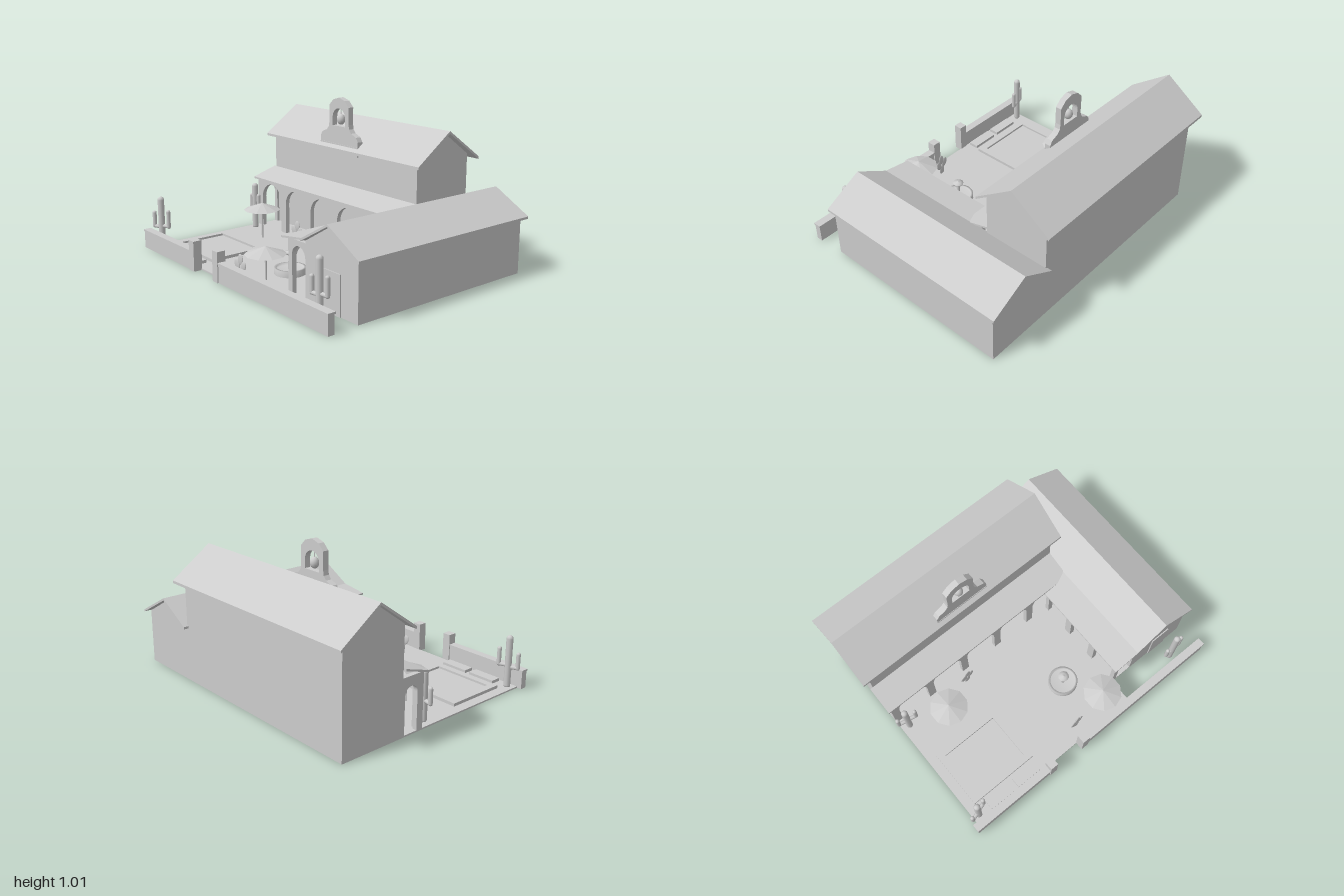
import * as THREE from 'three';

export function createModel() {
  const root = new THREE.Group();
  root.name = 'courtyardVilla';
  const plaster = new THREE.MeshStandardMaterial({ color: 0xcccccc });
  plaster.name = 'plaster grey';

  const add = (name, geo, parent = root) => {
    const m = new THREE.Mesh(geo, plaster);
    m.name = name;
    parent.add(m);
    return m;
  };
  // box from its min and max corners
  const box = (name, x0, x1, y0, y1, z0, z1) => add(name,
    new THREE.BoxGeometry(x1 - x0, y1 - y0, z1 - z0)
      .translate((x0 + x1) / 2, (y0 + y1) / 2, (z0 + z1) / 2));
  const extrude = (shape, depth, curveSegments = 8) =>
    new THREE.ExtrudeGeometry(shape, { depth, bevelEnabled: false, curveSegments });
  const poly = pts => new THREE.Shape(pts.map(p => new THREE.Vector2(p[0], p[1])));
  // profile of [x, y] points run along z, or of [z, y] points run along x
  const alongZ = (name, pts, z0, z1) => add(name, extrude(poly(pts), z1 - z0).translate(0, 0, z0));
  const alongX = (name, pts, x0, x1) => add(name,
    extrude(poly(pts.map(([z, y]) => [-z, y])), x1 - x0).rotateY(Math.PI / 2).translate(x0, 0, 0));
  // thickens a roof line downwards
  const slab = (pts, t) => [...pts, ...pts.slice().reverse().map(([a, y]) => [a, y - t])];

  // wall with a row of round-headed openings standing on the ground
  function arcade(length, height, centres, r, spring, depth) {
    const s = new THREE.Shape();
    s.moveTo(0, 0);
    for (const c of centres) {
      s.lineTo(c - r, 0);
      s.lineTo(c - r, spring);
      s.absarc(c, spring, r, Math.PI, 0, true);
      s.lineTo(c + r, 0);
    }
    s.lineTo(length, 0);
    s.lineTo(length, height);
    s.lineTo(0, height);
    return extrude(s, depth, 10);
  }

  // courtyard floor
  box('courtyardFloor', -0.95, 0.36, 0, 0.01, -0.295, 0.745);
  box('wingPorchFloor', 0.36, 0.52, 0, 0.01, -0.295, 0.575);

  // main hall
  alongX('mainHall', [[-0.745, 0], [-0.295, 0], [-0.295, 0.68], [-0.525, 0.848], [-0.745, 0.69]], -0.95, 0.52);
  alongX('mainRoof', slab([[-0.80, 0.672], [-0.525, 0.865], [-0.255, 0.672]], 0.017), -1, 0.57);

  // side wing
  alongZ('sideWing', [[0.52, 0], [0.97, 0], [0.97, 0.36], [0.74, 0.49], [0.52, 0.36]], -0.745, 0.575);
  alongZ('wingRoof', slab([[0.505, 0.374], [0.74, 0.508], [1.0, 0.366]], 0.015), -0.78, 0.6);
  alongZ('wingPorchRoof', slab([[0.325, 0.352], [0.52, 0.38]], 0.012), -0.2, 0.6);
  box('wingDoor', 0.69, 0.83, 0, 0.245, 0.575, 0.582);

  // porch along the hall
  alongX('porchRoof', slab([[-0.295, 0.425], [-0.11, 0.368]], 0.013), -0.97, 0.52);
  const centres = [0, 1, 2, 3, 4].map(i => 0.169 + i * 0.283);
  add('hallArcade', arcade(1.47, 0.362, centres, 0.115, 0.22, 0.03)).position.set(-0.95, 0, -0.16);
  const end = add('porchEndArch', arcade(0.135, 0.362, [0.0675], 0.05, 0.25, 0.03));
  end.rotation.y = Math.PI / 2;
  end.position.set(-0.95, 0, -0.16);

  // porch along the wing
  const side = add('wingArcade', arcade(0.705, 0.343, [0.12, 0.3525, 0.585], 0.09, 0.215, 0.035));
  side.rotation.y = Math.PI / 2;
  side.position.set(0.36, 0, 0.575);
  add('wingEndArch', arcade(0.125, 0.345, [0.0625], 0.0615, 0.25, 0.03)).position.set(0.395, 0, 0.545);

  // bell gable on the roof
  const half = [[0.193, 0.70], [0.193, 0.735], [0.175, 0.765], [0.125, 0.785], [0.105, 0.81], [0.1, 0.84], [0.1, 0.955], [0.06, 0.995]];
  const gable = poly([...half, [0, 1.013], ...half.slice().reverse().map(([x, y]) => [-x, y])]);
  const hole = new THREE.Path();
  hole.moveTo(-0.065, 0.82);
  hole.lineTo(0.065, 0.82);
  hole.lineTo(0.065, 0.875);
  hole.absarc(0, 0.875, 0.065, 0, Math.PI, false);
  hole.closePath();
  gable.holes.push(hole);
  add('bellGable', extrude(gable, 0.04).translate(-0.215, 0, -0.325));
  box('bellGableBase', -0.408, -0.022, 0.635, 0.70, -0.328, -0.282);
  const bell = add('bell', new THREE.SphereGeometry(0.029, 12, 8));
  bell.scale.y = 1.25;
  bell.position.set(-0.215, 0.865, -0.305);
  add('bellRod', new THREE.CylinderGeometry(0.004, 0.004, 0.05, 6)).position.set(-0.215, 0.918, -0.305);

  // front garden wall with gate pillars
  for (const [x0, x1] of [[-0.98, -0.375], [-0.055, 0.985]]) {
    box('gardenWall', x0, x1, 0, 0.115, 0.748, 0.792);
    box('gardenWallCap', x0 - 0.004, x1 + 0.004, 0.115, 0.127, 0.743, 0.797);
  }
  for (const x of [-0.353, -0.08]) box('gatePillar', x - 0.028, x + 0.028, 0, 0.195, 0.741, 0.799);

  // pool with raised rim, and two sun beds
  const rim = poly([[-0.885, -0.63], [-0.39, -0.63], [-0.39, -0.22], [-0.885, -0.22]]);
  rim.holes.push(new THREE.Path(
    [[-0.84, -0.585], [-0.84, -0.26], [-0.435, -0.26], [-0.435, -0.585]].map(p => new THREE.Vector2(...p))));
  add('poolRim', extrude(rim, 0.03).rotateX(-Math.PI / 2));
  box('poolWater', -0.84, -0.435, 0.005, 0.016, 0.26, 0.585);
  for (const x of [-0.82, -0.595]) box('sunBed', x, x + 0.19, 0, 0.03, 0.66, 0.73);

  // fountain
  const fountain = new THREE.Group();
  fountain.name = 'fountain';
  fountain.position.set(0.095, 0, 0.365);
  root.add(fountain);
  const lathe = (pts, n) => new THREE.LatheGeometry(pts.map(p => new THREE.Vector2(...p)), n);
  add('fountainBasin', lathe([[0.1, 0], [0.1, 0.05], [0.085, 0.05], [0.085, 0.035], [0, 0.035]], 24), fountain);
  add('fountainStem', new THREE.CylinderGeometry(0.01, 0.014, 0.13, 8).translate(0, 0.065, 0), fountain);
  add('fountainBowl', lathe([[0.01, 0.125], [0.03, 0.135], [0.037, 0.148], [0.018, 0.15], [0, 0.162]], 10), fountain);

  // parasols
  for (const [x, z] of [[-0.635, 0.06], [0.205, 0.625]]) {
    const g = new THREE.Group();
    g.name = 'parasol';
    g.position.set(x, 0, z);
    root.add(g);
    const top = new THREE.ConeGeometry(0.127, 0.048, 10).toNonIndexed();
    top.computeVertexNormals();
    add('canopy', top.translate(0, 0.238, 0), g);
    add('pole', new THREE.CylinderGeometry(0.006, 0.006, 0.22, 8).translate(0, 0.11, 0), g);
  }

  // tall cacti: a trunk and two bent arms
  for (const [x, z, turn, h] of [[-0.893, -0.06, -0.2, 0.34], [-0.905, 0.7, 0.33, 0.355], [0.788, 0.688, 0.07, 0.37]]) {
    const g = new THREE.Group();
    g.name = 'cactus';
    g.position.set(x, 0, z);
    g.rotation.y = turn;
    root.add(g);
    const limb = (name, px, y0, y1, r) => add(name,
      new THREE.CapsuleGeometry(r, y1 - y0 - 2 * r, 4, 9).translate(px, (y0 + y1) / 2, 0), g);
    limb('trunk', 0, -0.0, h, 0.022);
    for (const [px, y0, y1] of [[-0.062, 0.13, 0.25], [0.062, 0.14, 0.27]]) {
      limb('arm', px, y0, y1, 0.014);
      add('elbow', new THREE.CylinderGeometry(0.013, 0.013, 0.062, 8)
        .rotateZ(Math.PI / 2).translate(px / 2, y0 + 0.014, 0), g);
    }
  }

  // prickly pears: flat oval pads
  const pads = [[0, 0.035, 0], [-0.028, 0.09, 0.35], [0.028, 0.085, -0.4], [0.004, 0.125, 0]];
  for (const [x, z] of [[-0.395, -0.062], [-0.03, 0.65]]) {
    const g = new THREE.Group();
    g.name = 'pricklyPear';
    g.position.set(x, 0, z);
    g.rotation.y = 0.1;
    root.add(g);
    for (const [px, py, tilt] of pads) {
      const pad = add('pad', new THREE.SphereGeometry(1, 10, 8), g);
      pad.scale.set(0.025, 0.036, 0.006);
      pad.position.set(px, py, 0);
      pad.rotation.z = tilt;
    }
  }
  return root;
}
